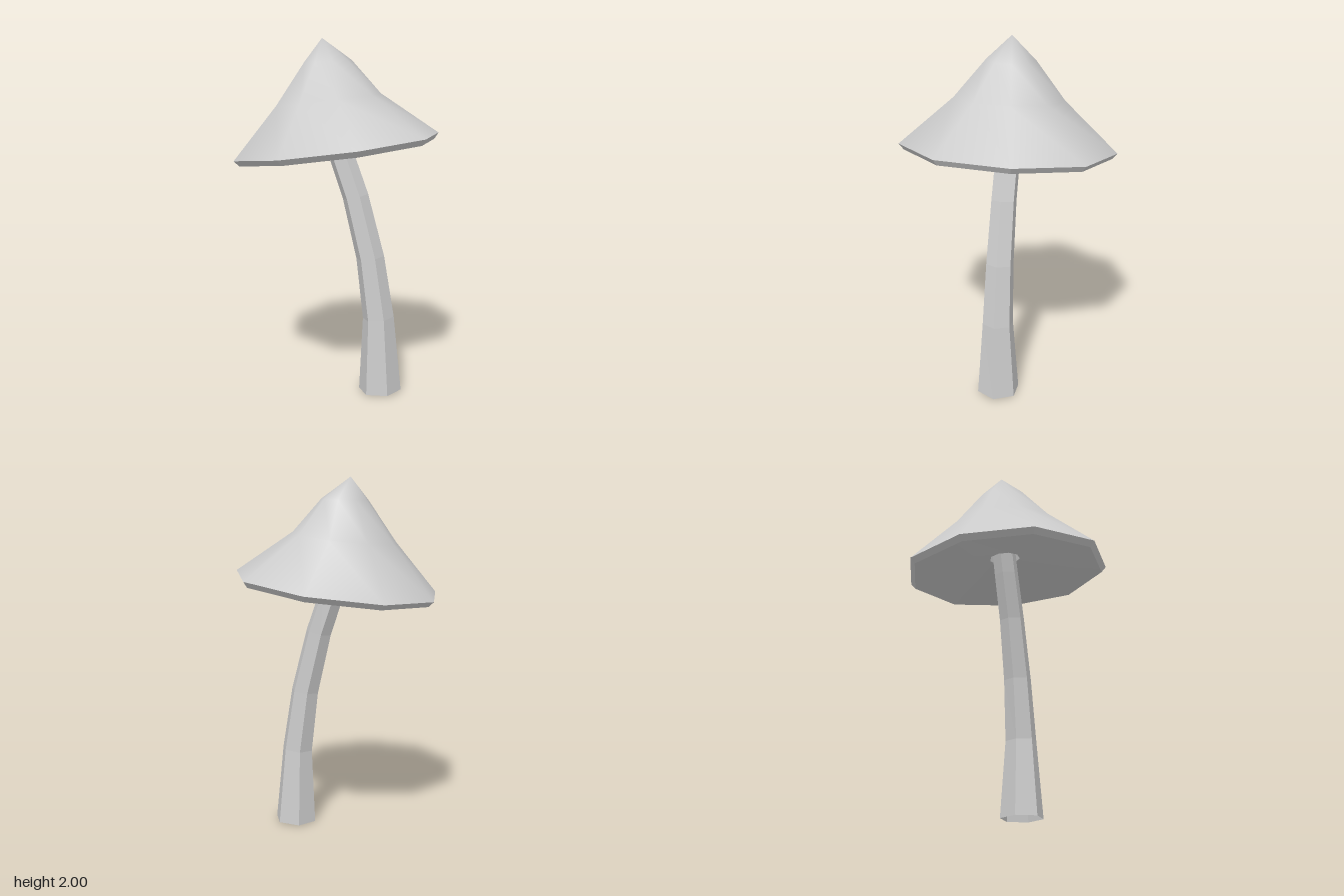
import * as THREE from 'three';
import { mergeVertices } from 'three/addons/utils/BufferGeometryUtils.js';

// Skin closed rings of equal point count, listed so that the surface faces outward.
function loft(rings, flat) {
  const n = rings[0].length;
  const index = [];
  for (let i = 0; i < rings.length - 1; i++) {
    for (let j = 0; j < n; j++) {
      const k = (j + 1) % n;
      const a = i * n + j, b = (i + 1) * n + j, c = (i + 1) * n + k, d = i * n + k;
      index.push(a, b, c, a, c, d);
    }
  }
  let geometry = new THREE.BufferGeometry();
  geometry.setAttribute('position', new THREE.Float32BufferAttribute(rings.flat(2), 3));
  geometry.setIndex(index);
  geometry = flat ? geometry.toNonIndexed() : mergeVertices(geometry);
  geometry.computeVertexNormals();
  return geometry;
}

// Place an outline at a centre, scaled and tilted along x and z.
function ring(outline, [cx, cy, cz], scale, tiltX = 0, tiltZ = 0) {
  return outline.map(([x, z]) => [
    cx + x * scale,
    cy + (x * tiltX + z * tiltZ) * scale,
    cz + z * scale,
  ]);
}

export function createModel() {
  const group = new THREE.Group();
  const grey = new THREE.MeshStandardMaterial({ color: 0xcccccc, side: THREE.DoubleSide });
  grey.name = 'light grey';

  const add = (name, rings, flat = false) => {
    const mesh = new THREE.Mesh(loft(rings, flat), grey);
    mesh.name = name;
    group.add(mesh);
  };

  // Uneven nine-sided cap outline (x, z)
  const outline = [
    [-0.02, -0.58], [0.36, -0.465], [0.56, -0.125], [0.535, 0.275], [0.24, 0.56],
    [-0.165, 0.58], [-0.48, 0.33], [-0.56, -0.06], [-0.39, -0.42],
  ];
  const rim = ring(outline, [0, 1.415, 0], 1, 0.134, 0.02);
  const lip = ring(outline, [0.004, 1.384, 0], 0.955, 0.134, 0.02);
  const hole = ring(outline, [0, 1.485, 0.005], 0.15, 0.134, 0.02);
  const collarTop = ring(outline, [-0.01, 1.54, 0.005], 0.15, 0.134, 0.02);

  // Cap: smooth tilted cone with a flaring brim
  add('capTop', [
    rim,
    ring(outline, [-0.04, 1.67, 0.01], 0.51, 0.12, 0.01),
    ring(outline, [-0.04, 1.878, 0.005], 0.23, 0.04, 0.02),
    ring(outline, [-0.07, 2, 0.01], 0),
  ]);
  add('capEdge', [lip, rim], true);
  add('capUnderside', [hole, lip]);
  add('stemSocket', [collarTop, hole], true);

  // Stem: bent open hexagonal tube, rows of [x, y, z, radius, tilt]
  const hexagon = Array.from({ length: 6 }, (_, i) => {
    const a = (i * Math.PI) / 3;
    return [Math.cos(a), Math.sin(a)];
  });
  const stem = [
    [0.27, 0.006, 0.015, 0.122, 0.04],
    [0.257, 0.44, 0.018, 0.089, 0.11],
    [0.207, 0.79, 0.016, 0.079, 0.15],
    [0.12, 1.135, 0.012, 0.072, 0.22],
    [0.03, 1.39, 0.008, 0.07, 0.2],
    [-0.015, 1.53, 0.006, 0.069, 0.2],
  ];
  add('stem', stem.map(([x, y, z, r, tilt]) => ring(hexagon, [x, y, z], r, tilt)), true);

  return group;
}
